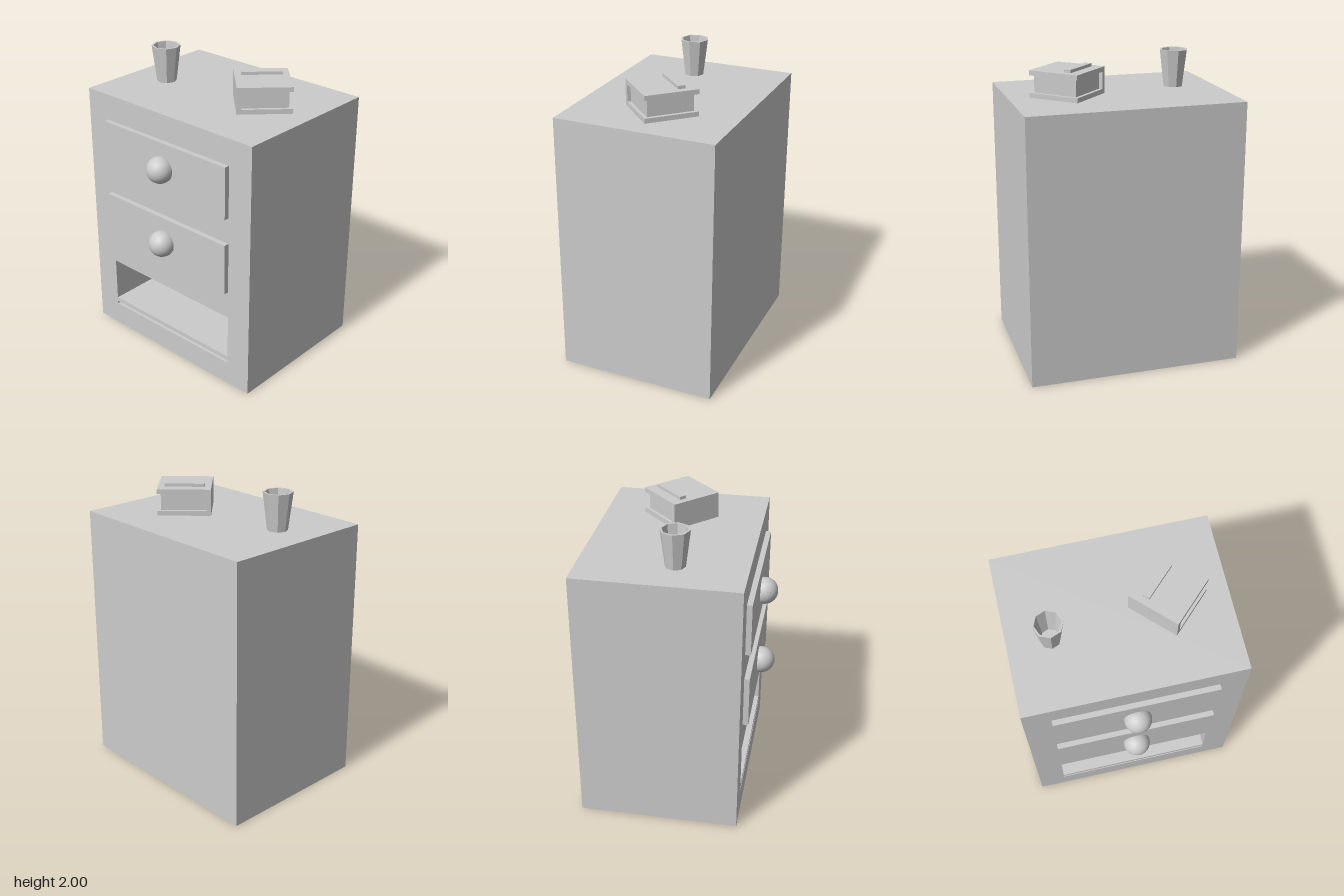
import * as THREE from 'three';

const material = new THREE.MeshStandardMaterial({ color: 0xcccccc });
const flatMaterial = new THREE.MeshStandardMaterial({ color: 0xcccccc, flatShading: true });

function add(parent, name, geometry, x = 0, y = 0, z = 0, mat = material) {
  const mesh = new THREE.Mesh(geometry, mat);
  mesh.name = name;
  mesh.position.set(x, y, z);
  parent.add(mesh);
  return mesh;
}

// Box given by its min and max on each axis
function addBox(parent, name, [x0, x1], [y0, y1], [z0, z1]) {
  const geometry = new THREE.BoxGeometry(x1 - x0, y1 - y0, z1 - z0);
  return add(parent, name, geometry, (x0 + x1) / 2, (y0 + y1) / 2, (z0 + z1) / 2);
}

function rectangle(PathType, [x0, x1], [y0, y1]) {
  return new PathType([[x0, y0], [x1, y0], [x1, y1], [x0, y1]].map(([x, y]) => new THREE.Vector2(x, y)));
}

const HEIGHT = 1.757, FRONT = 0.455, BACK = -0.597;
const INNER = [-0.525, 0.525];

function createCabinet() {
  const cabinet = new THREE.Group();
  cabinet.name = 'cabinet';

  // Carcass with an open niche at the bottom
  const outline = rectangle(THREE.Shape, [-0.7, 0.7], [0, HEIGHT]);
  outline.holes.push(rectangle(THREE.Path, INNER, [0.16, 0.515]));
  const carcass = new THREE.ExtrudeGeometry(outline, { depth: FRONT - BACK, bevelEnabled: false });
  add(cabinet, 'carcass', carcass, 0, 0, BACK);
  addBox(cabinet, 'nicheBack', INNER, [0.16, 0.515], [BACK, BACK + 0.05]);
  addBox(cabinet, 'nicheShelf', INNER, [0.18, 0.21], [BACK + 0.05, FRONT]);

  // Two drawers with round knobs
  for (const y of [0.88, 1.408]) {
    const drawer = new THREE.Group();
    drawer.name = 'drawer';
    addBox(drawer, 'drawerFront', INNER, [y - 0.175, y + 0.175], [FRONT, 0.49]);
    const knob = add(drawer, 'knob', new THREE.SphereGeometry(0.088, 32, 20), 0, y, 0.51);
    knob.rotation.x = Math.PI / 2;
    cabinet.add(drawer);
  }
  return cabinet;
}

// Eight-sided hollow cup: outside, rim, inside and floor in one profile
function createCup() {
  const profile = [[0, 0], [0.065, 0], [0.095, 0.243], [0.082, 0.243], [0.057, 0.02], [0, 0.02]]
    .map(([r, y]) => new THREE.Vector2(r, y));
  const cup = new THREE.Group();
  cup.name = 'cup';
  add(cup, 'cupBody', new THREE.LatheGeometry(profile, 8), 0, 0, 0, flatMaterial);
  cup.position.set(-0.43, HEIGHT, 0.005);
  return cup;
}

// Closed book: spine at -x, pages set back from the covers
function createBook() {
  const book = new THREE.Group();
  book.name = 'book';
  const h = 0.174, inset = 0.023, cover = 0.031, top = 0.173;
  addBox(book, 'bottomCover', [-h, h], [0, cover], [-h, h]);
  addBox(book, 'topCover', [-h, h], [top - cover, top], [-h, h]);
  addBox(book, 'spine', [-h, -h + 0.03], [cover, top - cover], [-h, h]);
  addBox(book, 'pages', [-h + 0.03, h - inset], [cover, top - cover], [-h + inset, h - inset]);
  addBox(book, 'titleStrip', [-0.13, 0.13], [top, top + 0.02], [-0.102, -0.054]);
  book.position.set(0.317, HEIGHT, -0.093);
  book.rotation.y = Math.PI / 4;
  return book;
}

export function createModel() {
  const model = new THREE.Group();
  model.name = 'nightstand';
  model.add(createCabinet(), createCup(), createBook());
  return model;
}
